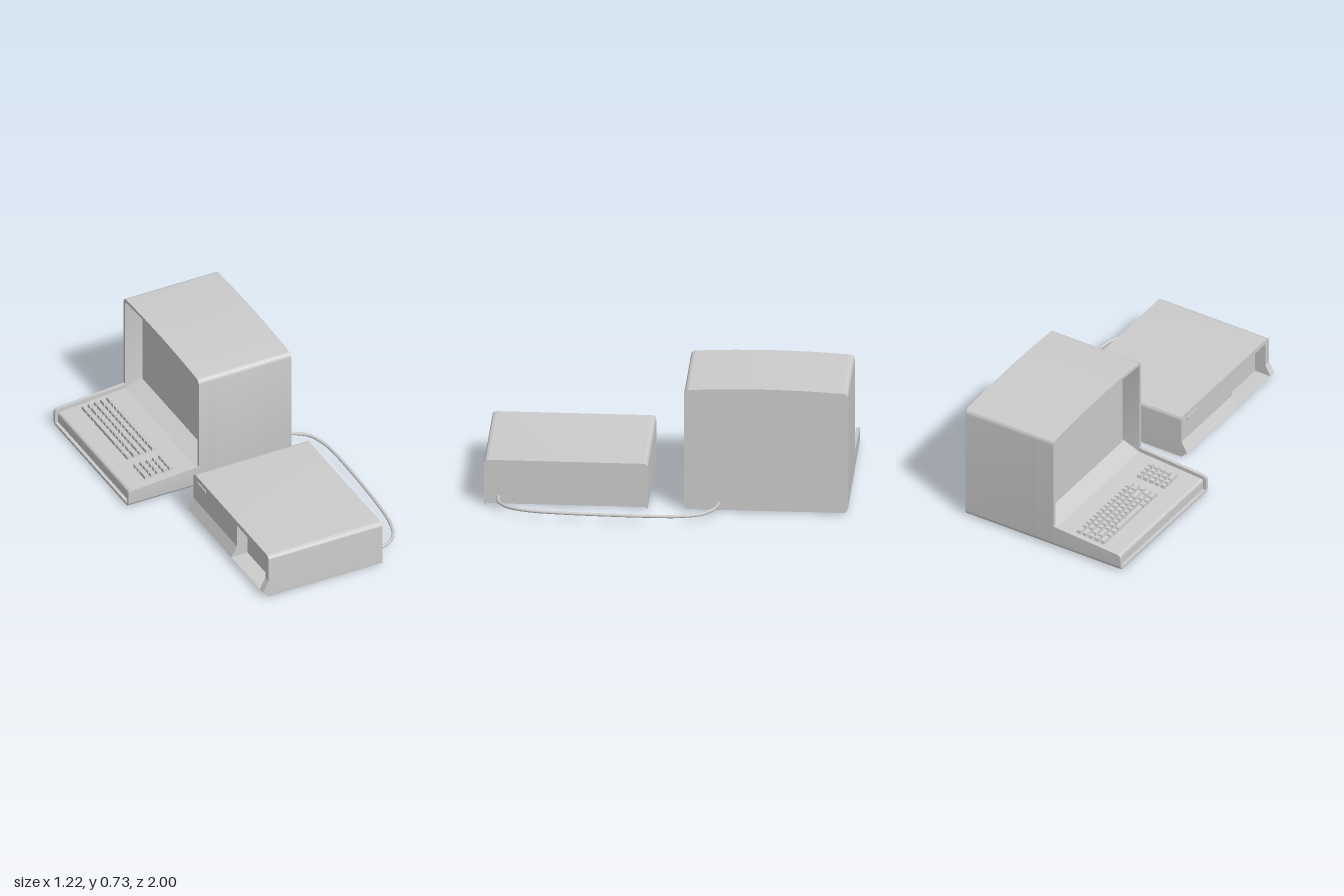
import * as THREE from 'three';
import { toCreasedNormals } from 'three/addons/utils/BufferGeometryUtils.js';

const material = new THREE.MeshStandardMaterial({ color: 0xcccccc, side: THREE.DoubleSide });

function add(parent, name, geometry) {
  const mesh = new THREE.Mesh(geometry, material);
  mesh.name = name;
  parent.add(mesh);
  return mesh;
}

function box(parent, name, [x0, x1], [y0, y1], [z0, z1]) {
  const g = new THREE.BoxGeometry(x1 - x0, y1 - y0, z1 - z0);
  return add(parent, name, g.translate((x0 + x1) / 2, (y0 + y1) / 2, (z0 + z1) / 2));
}

// Extrudes a cross-section drawn as (-z, y) along x
function alongX(shape, x0, x1) {
  const g = new THREE.ExtrudeGeometry(shape, { depth: x1 - x0, bevelEnabled: false, curveSegments: 8 });
  return toCreasedNormals(g.rotateY(Math.PI / 2).translate(x0, 0, 0), 0.6);
}

// Extrudes a side profile drawn as (x, y) along z
function alongZ(points, z0, z1) {
  const shape = new THREE.Shape(points.map(p => new THREE.Vector2(...p)));
  return new THREE.ExtrudeGeometry(shape, { depth: z1 - z0, bevelEnabled: false }).translate(0, 0, z0);
}

// Rounded cabinet outline with a gently crowned top
function cabinetOutline(path, inset) {
  const a = 0.1 + inset, b = 1 - inset, y0 = 0.006 + inset, y1 = 0.712 - inset;
  const r = 0.032 - inset * 0.6;
  path.moveTo(a + r, y0);
  path.lineTo(b - r, y0);
  path.quadraticCurveTo(b, y0, b, y0 + r);
  path.lineTo(b, y1 - r);
  path.quadraticCurveTo(b, y1, b - r, y1);
  path.quadraticCurveTo(0.55, y1 + 0.026, a + r, y1);
  path.quadraticCurveTo(a, y1, a, y1 - r);
  path.lineTo(a, y0 + r);
  path.quadraticCurveTo(a, y0, a + r, y0);
  return path;
}

// Rounded-top outline with a notch cut up from its lower edge
function arch(a, b, y0, y1, r, na, nb, ny) {
  const s = new THREE.Shape();
  s.moveTo(a, y0);
  s.lineTo(na, y0);
  s.lineTo(na, ny);
  s.lineTo(nb, ny);
  s.lineTo(nb, y0);
  s.lineTo(b, y0);
  s.lineTo(b, y1 - r);
  s.quadraticCurveTo(b, y1, b - r, y1);
  s.lineTo(a + r, y1);
  s.quadraticCurveTo(a, y1, a, y1 - r);
  s.lineTo(a, y0);
  return s;
}

// Open tray holding the keyboard: its side walls slope down to a rounded front
function trayGeometry() {
  const s = new THREE.Shape();
  const r = 0.032, top = 0.14, y0 = 0.006, wall = 0.02;
  s.moveTo(0.1, top);
  s.lineTo(0.1, y0 + r);
  s.quadraticCurveTo(0.1, y0, 0.1 + r, y0);
  s.lineTo(1 - r, y0);
  s.quadraticCurveTo(1, y0, 1, y0 + r);
  s.lineTo(1, top);
  s.lineTo(1 - wall, top);
  s.lineTo(1 - wall, 0.022);
  s.lineTo(0.1 + wall, 0.022);
  s.lineTo(0.1 + wall, top);
  const xs = [-0.613, -0.611, -0.606, -0.6, -0.588, -0.18];
  const tops = [0.085, 0.095, 0.102, 0.106, 0.108, 0.14];
  const g = new THREE.ExtrudeGeometry(s, { depth: 1, steps: 5, bevelEnabled: false, curveSegments: 8 });
  g.rotateY(Math.PI / 2);
  const p = g.attributes.position;
  for (let i = 0; i < p.count; i++) {
    const k = Math.round(p.getX(i) * 5);
    p.setX(i, xs[k]);
    if (p.getY(i) > 0.13) p.setY(i, tops[k]);
  }
  return toCreasedNormals(g, 0.6);
}

const DECK_SLOPE = 0.0725;
const deckY = x => 0.115 + (x + 0.18) * DECK_SLOPE;

// Tapered key cap resting on the sloping deck
function key(parent, x, z, length, width = 0.029) {
  const g = new THREE.BoxGeometry(width, 0.02, length);
  const p = g.attributes.position;
  for (let i = 0; i < p.count; i++) {
    if (p.getY(i) > 0) {
      p.setX(i, p.getX(i) - Math.sign(p.getX(i)) * 0.003);
      p.setZ(i, p.getZ(i) - Math.sign(p.getZ(i)) * 0.003);
    }
  }
  g.computeVertexNormals();
  const cap = add(parent, 'key', g);
  cap.position.set(x, deckY(x) + 0.009, z);
  cap.rotation.z = Math.atan(DECK_SLOPE);
}

// One line of keys laid along z, with lengths given in key units (0 leaves a gap)
function keyRow(parent, x, z0, z1, lengths) {
  const unit = (z1 - z0) / lengths.reduce((sum, n) => sum + Math.abs(n), 0);
  let z = z0;
  for (const n of lengths) {
    const span = Math.abs(n) * unit;
    if (n > 0) key(parent, x, z + span / 2, span - 0.007);
    z += span;
  }
}

function createTerminal() {
  const terminal = new THREE.Group();
  terminal.name = 'terminal';

  // Cabinet with a deep hood around the screen
  add(terminal, 'cabinet', alongX(cabinetOutline(new THREE.Shape(), 0), -0.07, 0.39));
  const hood = cabinetOutline(new THREE.Shape(), 0);
  hood.holes.push(cabinetOutline(new THREE.Path(), 0.018));
  add(terminal, 'screenHood', alongX(hood, -0.18, -0.07));
  box(terminal, 'screen', [-0.08, -0.06], [0.15, 0.685], [-0.968, -0.132]);

  // Keyboard tray, and a deck that rises to meet the screen
  add(terminal, 'keyboardTray', trayGeometry());
  add(terminal, 'keyboardDeck', alongZ([
    [-0.594, 0.015], [-0.065, 0.015], [-0.065, 0.16], [-0.18, deckY(-0.18)],
    [-0.582, deckY(-0.582)], [-0.591, 0.08], [-0.594, 0.072],
  ], -0.981, -0.119));

  // Keys: five rows for typing, four for numbers
  const keys = new THREE.Group();
  keys.name = 'keys';
  const ones = n => Array(n).fill(1);
  const rows = [
    [1.6, 1, 1, 6.2, 1, 1, 1.6],
    [1, 2, ...ones(9), 1.4, 1.6],
    [1, 1.6, ...ones(9), 2.2, 1],
    [1.5, 1.2, ...ones(10), 1.5],
    [1.5, ...ones(12), 1.6],
  ];
  rows.forEach((lengths, i) => keyRow(keys, -0.457 + i * 0.038, -0.945, -0.388, lengths));
  const pad = [[1, 1, 2], ones(4), ones(4), ones(4), ones(4)];
  pad.forEach((lengths, i) => keyRow(keys, -0.457 + i * 0.038, -0.325, -0.178, lengths));
  terminal.add(keys);
  return terminal;
}

function createDriveUnit() {
  const unit = new THREE.Group();
  unit.name = 'driveUnit';
  const t = 0.012, bay = [0.62, 0.96];

  // Hollow cover, open underneath, with an inset rear panel
  add(unit, 'cover', alongX(arch(-1, -0.1, 0, 0.265, 0.026, -1 + t, -0.1 - t, 0.265 - t), -0.315, 0.385));
  box(unit, 'rearPanel', [0.363, 0.373], [0.004, 0.255], [0.11, 0.99]);

  // Upper front wall, notched around the drive bay
  add(unit, 'frontWall', alongX(arch(-1, -0.1, 0.1, 0.265, 0.026, -bay[1], -bay[0], 0.238), -0.316, -0.304));

  // Flared foot of the front wall, interrupted by the bay
  const foot = [[-0.315, 0.1], [-0.35, 0.035], [-0.315, 0], [-0.302, 0], [-0.336, 0.035], [-0.302, 0.1]];
  const cheek = [[-0.304, 0.1], [-0.315, 0.1], [-0.35, 0.035], [-0.315, 0], [-0.304, 0]];
  const sill = [[-0.35, 0.035], [-0.315, 0], [-0.302, 0], [-0.336, 0.036]];
  add(unit, 'frontFoot', alongZ(foot, 0.1, bay[0]));
  add(unit, 'frontFoot', alongZ(foot, bay[1], 1));
  add(unit, 'baySill', alongZ(sill, ...bay));
  for (const z of [0.1, bay[0] - t, bay[1], 1 - t]) add(unit, 'footCheek', alongZ(cheek, z, z + t));

  // Recessed drive bay
  const bayX = [-0.306, -0.24];
  box(unit, 'bayBack', [-0.25, -0.24], [0.03, 0.24], bay);
  box(unit, 'bayFloor', [-0.343, -0.24], [0.028, 0.036], bay);
  box(unit, 'bayTop', bayX, [0.238, 0.246], bay);
  box(unit, 'baySide', bayX, [0.03, 0.246], [bay[0] - 0.008, bay[0]]);
  box(unit, 'baySide', bayX, [0.03, 0.246], [bay[1], bay[1] + 0.008]);

  // Small badge bar near the upper corner
  box(unit, 'frontBar', [-0.322, -0.31], [0.22, 0.238], [0.15, 0.25]);
  return unit;
}

export function createModel() {
  const model = new THREE.Group();
  model.name = 'computer';
  model.add(createTerminal(), createDriveUnit());

  // Cable linking the backs of the two units
  const path = new THREE.CatmullRomCurve3([
    [0.37, -0.29], [0.45, -0.28], [0.55, -0.212], [0.592, -0.1], [0.603, 0.05],
    [0.585, 0.6], [0.56, 0.77], [0.52, 0.86], [0.45, 0.913], [0.365, 0.922],
  ].map(([x, z]) => new THREE.Vector3(x, 0.045, z)));
  add(model, 'cable', new THREE.TubeGeometry(path, 64, 0.009, 10));
  return model;
}
